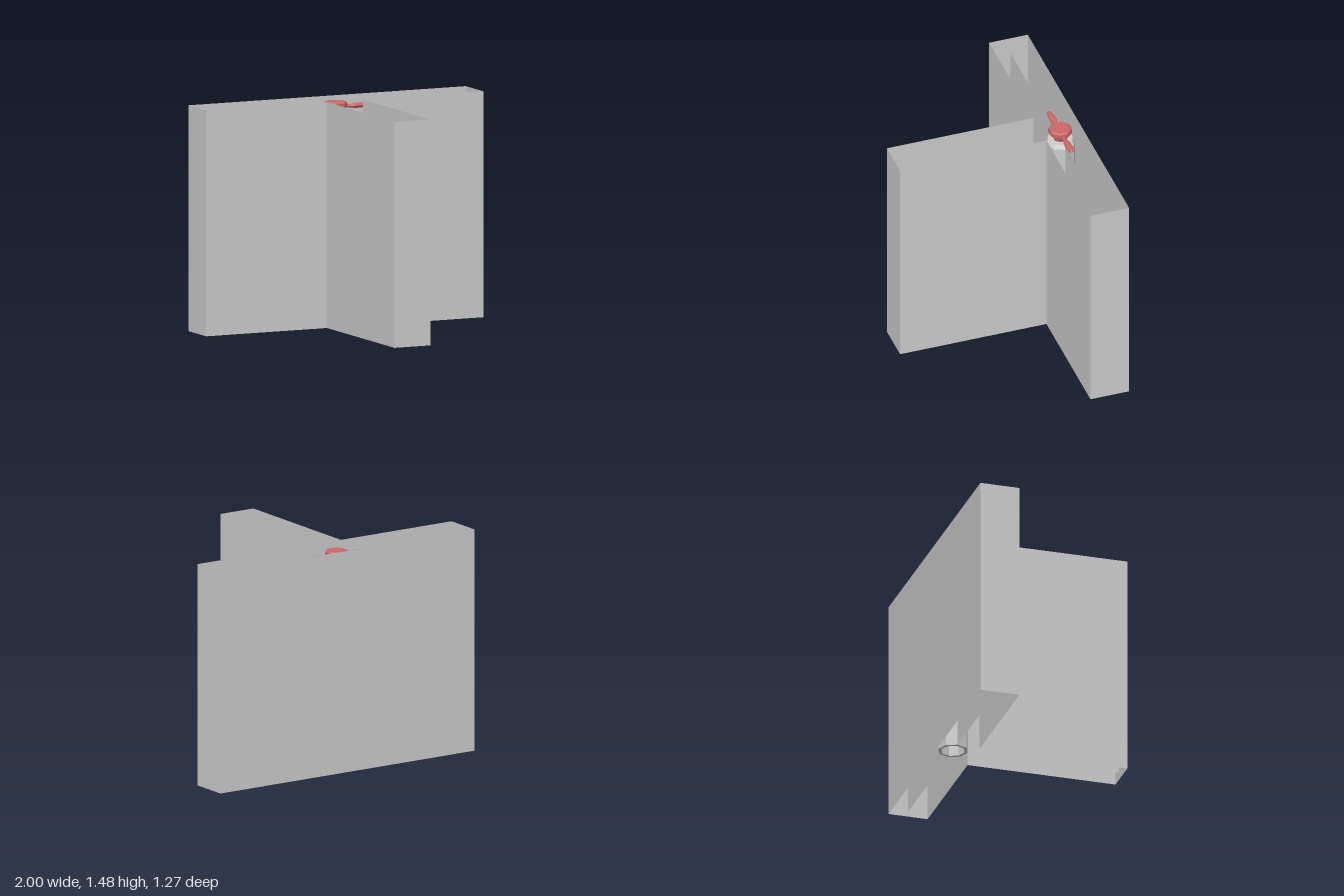
import * as THREE from 'three';

const AXIS_Z = -0.51; // z of the vertical post and of the cross pipe
const PIPE_Y = 0.7;

export function createModel() {
  const model = new THREE.Group();
  const grey = new THREE.MeshStandardMaterial({ color: 0xcccccc, flatShading: true, side: THREE.DoubleSide });
  const red = new THREE.MeshStandardMaterial({ color: 0xcc6666, flatShading: true, side: THREE.DoubleSide });

  const add = (name, geometry, material, x = 0, y = 0, z = 0, parent = model) => {
    const mesh = new THREE.Mesh(geometry, material);
    mesh.name = name;
    mesh.position.set(x, y, z);
    parent.add(mesh);
    return mesh;
  };
  // Eight-sided turned part from [radius, height] pairs
  const turned = (profile) => new THREE.LatheGeometry(profile.map(([r, h]) => new THREE.Vector2(r, h)), 8);

  // Tall T-shaped casing, open above and below
  const outline = [
    [-1, -0.635], [-1, -0.37], [-0.13, -0.37], [-0.13, 0.635],
    [0.13, 0.635], [0.13, -0.37], [1, -0.37], [1, -0.635],
  ];
  const casing = new THREE.Group();
  casing.name = 'casing';
  model.add(casing);
  outline.forEach(([x0, z0], i) => {
    const [x1, z1] = outline[(i + 1) % outline.length];
    const wall = add('casingWall', new THREE.PlaneGeometry(Math.hypot(x1 - x0, z1 - z0), 1.48), grey,
      (x0 + x1) / 2, 0.74, (z0 + z1) / 2, casing);
    wall.rotation.y = Math.atan2(z0 - z1, x1 - x0);
  });

  // Thin panels along the middle of each arm
  const panelHeight = 1.35;
  const panelY = 0.024 + panelHeight / 2;
  for (const side of [-1, 1]) {
    add('crossPanel', new THREE.PlaneGeometry(0.89, panelHeight), grey, side * 0.535, panelY, AXIS_Z);
  }
  add('stemPanel', new THREE.PlaneGeometry(1.04, panelHeight), grey, 0, panelY, 0.1).rotation.y = Math.PI / 2;

  // Vertical post: hollow below, stepped in towards the handle
  add('post', turned([
    [0.08, 1.2], [0.08, 0.024], [0.1, 0.024], [0.1, 1.35], [0.085, 1.375], [0.03, 1.375],
  ]), grey, 0, 0, AXIS_Z);

  // Three horizontal pipes, each with a barrel-shaped end collar
  const arms = [
    ['leftPipe', Math.PI / 2, 0.985],
    ['rightPipe', -Math.PI / 2, 0.985],
    ['frontPipe', 0, 1.135],
  ];
  for (const [name, turn, length] of arms) {
    const arm = new THREE.Group();
    arm.name = name;
    arm.position.set(0, PIPE_Y, AXIS_Z);
    arm.rotation.y = turn;
    model.add(arm);
    const pipe = add('pipe', turned([[0.095, 0], [0.095, length - 0.09]]), grey, 0, 0, 0, arm);
    const collar = add('collar', turned([
      [0.09, length - 0.095], [0.11, length - 0.095], [0.12, length - 0.05],
      [0.11, length], [0.085, length], [0.085, length - 0.08],
    ]), grey, 0, 0, 0, arm);
    pipe.rotation.x = collar.rotation.x = Math.PI / 2;
  }

  // Handle: faceted hub with two tapered wings
  const handle = new THREE.Group();
  handle.name = 'handle';
  handle.position.set(0, 1.425, AXIS_Z);
  model.add(handle);
  const hub = add('hub', turned([
    [0, -0.05], [0.045, -0.05], [0.055, -0.015], [0.078, 0], [0.078, 0.025], [0.068, 0.035], [0, 0.035],
  ]), red, 0, 0, 0, handle);
  hub.rotation.y = Math.PI / 8;
  const wing = turned([[0.013, 0.03], [0.013, 0.09], [0.024, 0.14], [0.024, 0.18], [0.015, 0.225], [0, 0.24]]);
  for (const side of [-1, 1]) {
    const mesh = add('wing', wing, red, 0, 0, 0, handle);
    mesh.rotation.z = -side * Math.PI / 2;
    mesh.scale.x = 0.75;
  }

  return model;
}
